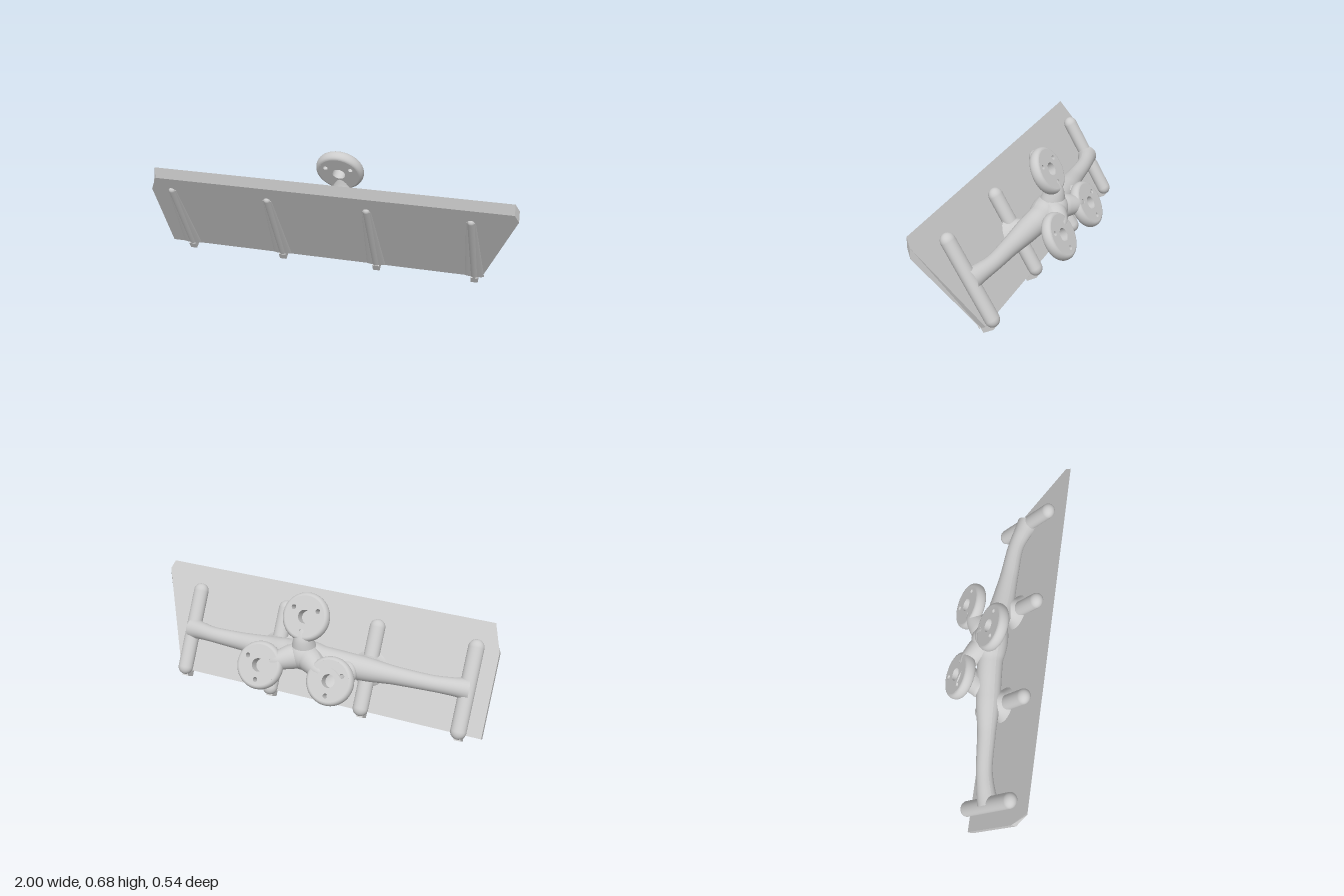
import * as THREE from 'three';

const mat = new THREE.MeshStandardMaterial({ color: 0xcccccc, side: THREE.DoubleSide });
const V = (x, y, z) => new THREE.Vector3(x, y, z);

function add(parent, name, geometry, x = 0, y = 0, z = 0) {
  const mesh = new THREE.Mesh(geometry, mat);
  mesh.name = name;
  mesh.position.set(x, y, z);
  parent.add(mesh);
  return mesh;
}

// Smooth limb whose radius varies along a curve; stations are [x, y, z, radius]
function limb(stations, segments = 40) {
  const path = new THREE.CatmullRomCurve3(stations.map(s => V(s[0], s[1], s[2])));
  const radii = new THREE.CatmullRomCurve3(stations.map(s => V(s[3], 0, 0)));
  const sides = 28;
  const geo = new THREE.TubeGeometry(path, segments, 1, sides, false);
  const pos = geo.attributes.position;
  const v = V(0, 0, 0);
  for (let i = 0; i <= segments; i++) {
    const t = path.getUtoTmapping(i / segments);
    const centre = path.getPoint(t);
    const r = radii.getPoint(t).x;
    for (let j = 0; j <= sides; j++) {
      const k = i * (sides + 1) + j;
      v.fromBufferAttribute(pos, k).sub(centre).multiplyScalar(r).add(centre);
      pos.setXYZ(k, v.x, v.y, v.z);
    }
  }
  geo.computeVertexNormals();
  return geo;
}

// Flat panel with one slanted end and an upright cut along its top edge
function panelGeometry() {
  const outline = [[-1, 0.028], [0.8, 0.028], [1, 0.588], [0.98, 0.638], [-0.95, 0.638], [-1, 0.49]];
  const shape = new THREE.Shape(outline.map(p => new THREE.Vector2(p[0], p[1])));
  const geo = new THREE.ExtrudeGeometry(shape, { depth: 0.03, bevelEnabled: false });
  const pos = geo.attributes.position;
  for (let i = 0; i < pos.count; i++) {
    if (pos.getY(i) > 0.55 && pos.getZ(i) > 0.01) pos.setY(i, pos.getY(i) - 0.052);
  }
  geo.computeVertexNormals();
  return geo;
}

// Round mounting pad: drilled core and rounded rim
function mountingPad(x, y) {
  const pad = new THREE.Group();
  pad.name = 'mountingPad';
  pad.position.set(x, y, -0.34);
  const shape = new THREE.Shape().absarc(0, 0, 0.112, 0, Math.PI * 2);
  const drill = (hx, hy, r) => shape.holes.push(new THREE.Path().absarc(hx, hy, r, 0, Math.PI * 2, true));
  drill(0, 0, 0.036);
  for (const deg of [-90, 30, 150]) {
    const a = deg * Math.PI / 180;
    drill(0.08 * Math.cos(a), 0.08 * Math.sin(a), 0.013);
  }
  add(pad, 'padCore', new THREE.ExtrudeGeometry(shape, { depth: 0.06, bevelEnabled: false, curveSegments: 32 }));
  const rim = [];
  for (let i = 0; i <= 12; i++) {
    const a = -Math.PI / 2 + Math.PI * i / 12;
    rim.push(new THREE.Vector2(0.112 + 0.02 * Math.cos(a), 0.03 + 0.03 * Math.sin(a)));
  }
  add(pad, 'padRim', new THREE.LatheGeometry(rim, 56)).rotation.x = Math.PI / 2;
  return pad;
}

export function createModel() {
  const model = new THREE.Group();
  model.name = 'panelBracket';
  const tilted = new THREE.Group();
  tilted.name = 'tiltedAssembly';
  tilted.rotation.x = Math.PI / 6;
  model.add(tilted);

  add(tilted, 'panel', panelGeometry(), 0, 0, -0.06);

  // Four clamps: rod behind, rib in front, foot hooked under the lower edge
  for (const x of [-0.88, -0.33, 0.215, 0.76]) {
    const clamp = new THREE.Group();
    clamp.name = 'clamp';
    clamp.position.x = x;
    tilted.add(clamp);
    add(clamp, 'backRod', new THREE.CapsuleGeometry(0.043, 0.45, 10, 28), 0, 0.268, -0.088).scale.z = 0.88;
    add(clamp, 'frontRib', new THREE.CapsuleGeometry(0.02, 0.47, 8, 20), 0, 0.255, -0.034);
    add(clamp, 'ribFlank', new THREE.CylinderGeometry(0.025, 0.052, 0.46, 28), 0, 0.262, -0.03).scale.z = 0.16;
    add(clamp, 'foot', new THREE.BoxGeometry(0.038, 0.04, 0.064), 0, 0.0125, -0.045);
  }

  // Cross arm joining all the rods
  add(tilted, 'crossArm', limb([
    [-0.88, 0.27, -0.085, 0.06], [-0.82, 0.268, -0.108, 0.05], [-0.7, 0.262, -0.135, 0.044],
    [-0.5, 0.26, -0.152, 0.05], [-0.33, 0.26, -0.17, 0.066], [-0.1, 0.265, -0.195, 0.07],
    [0.1, 0.265, -0.195, 0.07], [0.22, 0.26, -0.17, 0.066], [0.42, 0.26, -0.15, 0.05],
    [0.6, 0.262, -0.135, 0.044], [0.7, 0.268, -0.108, 0.05], [0.76, 0.27, -0.085, 0.06]], 110));

  // Flared necks from the inner rods to the arm
  for (const x of [-0.33, 0.215]) {
    add(tilted, 'rodNeck', limb([
      [x, 0.265, -0.075, 0.1], [x, 0.265, -0.105, 0.075], [x, 0.262, -0.14, 0.062], [x, 0.26, -0.18, 0.055]]));
  }

  // Central hub and branches to the pads
  add(tilted, 'hub', new THREE.SphereGeometry(0.085, 36, 24), 0, 0.27, -0.235);
  add(tilted, 'upperBranch', limb([
    [0, 0.25, -0.21, 0.075], [0, 0.3, -0.25, 0.07], [0, 0.35, -0.29, 0.053], [0, 0.42, -0.31, 0.027]]));
  for (const side of [-1, 1]) {
    add(tilted, 'lowerBranch', limb([
      [0, 0.27, -0.22, 0.075], [side * 0.07, 0.235, -0.265, 0.066],
      [side * 0.12, 0.205, -0.295, 0.05], [side * 0.163, 0.183, -0.31, 0.027]]));
  }
  add(tilted, 'sideNeck', limb([
    [-0.3, 0.26, -0.16, 0.06], [-0.265, 0.235, -0.205, 0.06], [-0.225, 0.195, -0.25, 0.065], [-0.205, 0.165, -0.288, 0.085]]));

  // Three mounting pads
  for (const [x, y] of [[0, 0.467], [-0.205, 0.162], [0.205, 0.162]]) tilted.add(mountingPad(x, y));

  return model;
}
